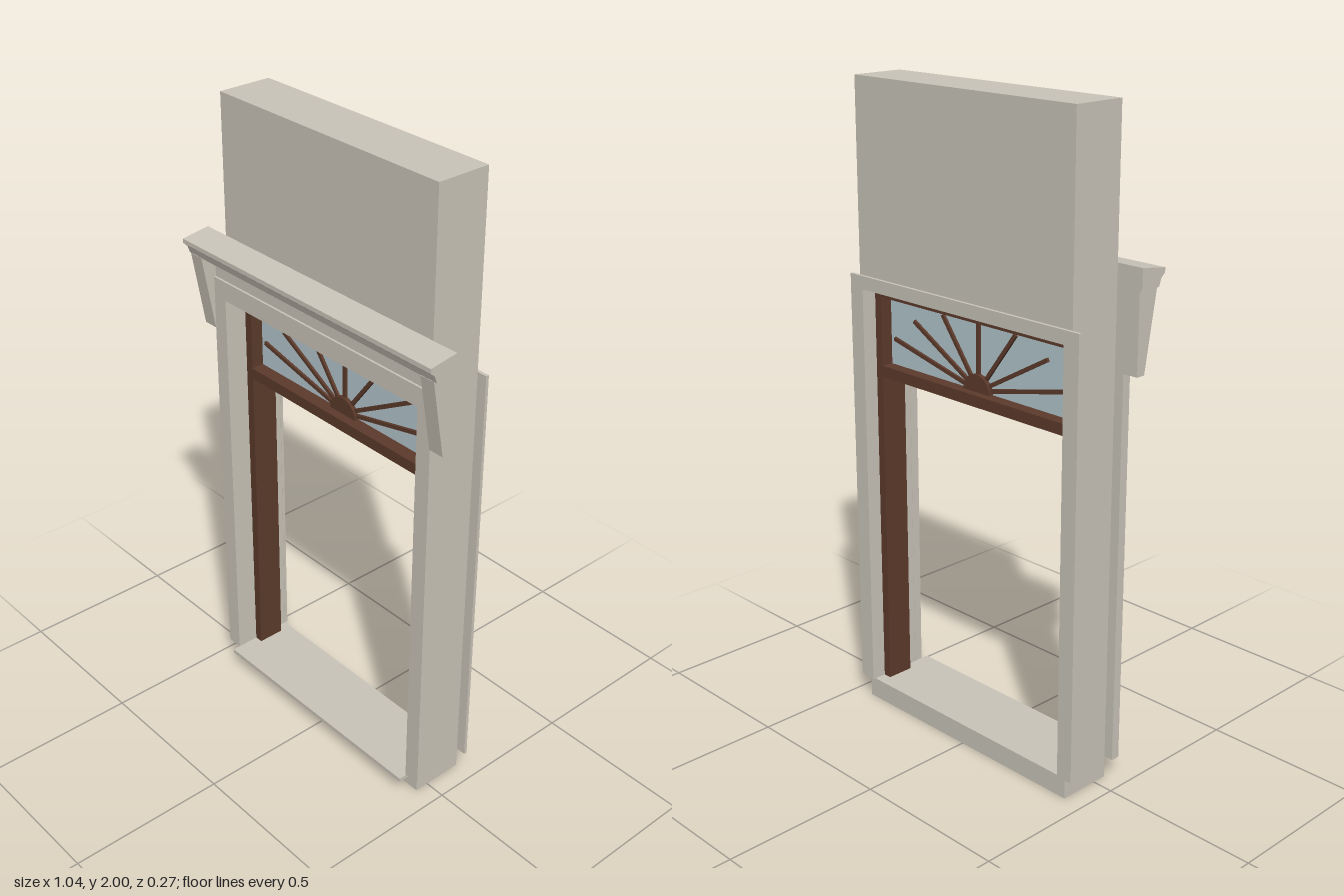
import * as THREE from 'three';

const stone = new THREE.MeshStandardMaterial({ color: 0xc9c4b8 });
stone.name = 'stone';
const wood = new THREE.MeshStandardMaterial({ color: 0x5c3a2b });
wood.name = 'darkWood';
const pane = new THREE.MeshStandardMaterial({ color: 0xb3c7ce });
pane.name = 'paleGlass';

export function createModel() {
  const model = new THREE.Group();
  model.name = 'doorSurround';

  const add = (name, geometry, material) => {
    const mesh = new THREE.Mesh(geometry, material);
    mesh.name = name;
    model.add(mesh);
    return mesh;
  };
  // Box given by its limits on each axis
  const box = (name, material, x0, x1, y0, y1, z0, z1) => {
    const m = add(name, new THREE.BoxGeometry(x1 - x0, y1 - y0, z1 - z0), material);
    m.position.set((x0 + x1) / 2, (y0 + y1) / 2, (z0 + z1) / 2);
    return m;
  };
  const extrude = (shape, depth) =>
    new THREE.ExtrudeGeometry(shape, { depth, bevelEnabled: false, curveSegments: 12 });
  const polygon = (points) => new THREE.Shape(points.map(([x, y]) => new THREE.Vector2(x, y)));
  // Profile of [z, y] points swept along x from x0 to x1
  const sweep = (name, profile, x0, x1) => {
    const g = extrude(polygon(profile.map(([z, y]) => [-z, y])), x1 - x0);
    g.rotateY(Math.PI / 2);
    g.translate(x0, 0, 0);
    return add(name, g, stone);
  };
  // Upside-down U of trim around the opening
  const archTrim = (name, material, inner, outer, bottom, head, top, z0, z1) => {
    const g = extrude(polygon([
      [-outer, bottom], [-inner, bottom], [-inner, head], [inner, head],
      [inner, bottom], [outer, bottom], [outer, top], [-outer, top],
    ]), z1 - z0);
    g.translate(0, 0, z0);
    return add(name, g, material);
  };

  // Wall panel with the door opening
  const wallShape = polygon([[-0.433, 0], [0.433, 0], [0.433, 2], [-0.433, 2]]);
  wallShape.holes.push(new THREE.Path([
    [-0.412, 0.055], [-0.412, 1.375], [0.412, 1.375], [0.412, 0.055],
  ].map(([x, y]) => new THREE.Vector2(x, y))));
  const wall = extrude(wallShape, 0.172);
  wall.translate(0, 0, -0.127);
  add('wall', wall, stone);

  // Trim on both faces, frieze and threshold
  archTrim('frontTrim', stone, 0.411, 0.463, 0.068, 1.373, 1.434, 0.045, 0.073);
  archTrim('backTrim', stone, 0.411, 0.465, 0.068, 1.373, 1.414, -0.137, -0.127);
  box('frieze', stone, -0.463, 0.463, 1.434, 1.51, 0.045, 0.066);
  box('threshold', stone, -0.412, 0.412, 0.053, 0.066, -0.127, 0.098);

  // Cornice with sloping top, carried by tapered brackets
  sweep('cornice', [
    [0.045, 1.505], [0.114, 1.505], [0.122, 1.528], [0.137, 1.541], [0.137, 1.555], [0.045, 1.568],
  ], -0.52, 0.52);
  for (const side of [-1, 1]) {
    const name = side > 0 ? 'leftBracket' : 'rightBracket';
    const x = side * 0.487;
    sweep(name, [[0.045, 1.265], [0.074, 1.265], [0.116, 1.506], [0.045, 1.506]], x - 0.025, x + 0.025);
  }

  // Wooden frame, transom and fanlight pane
  archTrim('doorFrame', wood, 0.385, 0.412, 0.066, 1.345, 1.375, -0.088, 0);
  box('transom', wood, -0.386, 0.386, 1.095, 1.13, -0.088, 0.001);
  box('fanlightGlass', pane, -0.386, 0.386, 1.129, 1.346, -0.049, -0.041);

  // Sunburst of a half-round hub and seven rays
  const hubShape = new THREE.Shape();
  hubShape.absarc(0, 0, 0.055, 0, Math.PI, false);
  const hub = extrude(hubShape, 0.036);
  hub.translate(0, 1.128, -0.063);
  add('sunburstHub', hub, wood);
  const rays = [[0, 0.21], [0.15, 0.2], [0.275, 0.155], [0.365, 0.083]];
  rays.forEach(([dx, dy], i) => {
    for (const side of i ? [-1, 1] : [1]) {
      const length = Math.hypot(dx, dy);
      const ray = add('sunburstRay', new THREE.BoxGeometry(length - 0.04, 0.012, 0.024), wood);
      ray.position.set(side * dx * (0.5 + 0.02 / length), 1.13 + dy * (0.5 + 0.02 / length), -0.045);
      ray.rotation.z = Math.atan2(dy, side * dx);
    }
  });

  return model;
}
